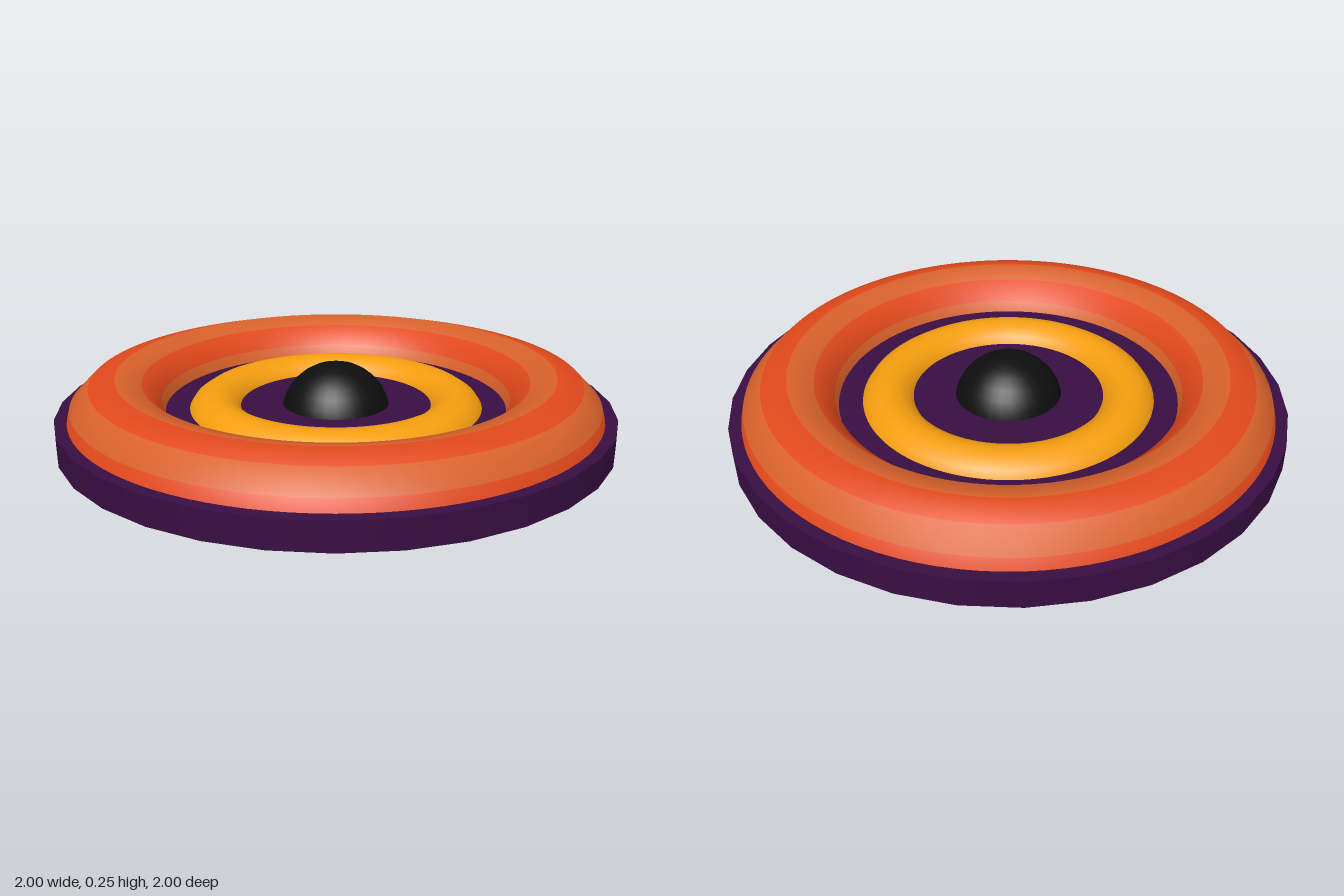
import * as THREE from 'three';

const MID = 0.05; // the domed rings and centre rise from the middle of the base

const paint = (color) => new THREE.MeshStandardMaterial({ color });

// Upper half of a ring with a round section, from the outer edge to the inner
function halfRing(radius, tube, sides, around) {
  const profile = [];
  for (let i = 0; i <= sides; i++) {
    const a = (i / sides) * Math.PI;
    profile.push(new THREE.Vector2(radius + tube * Math.cos(a), MID + tube * Math.sin(a)));
  }
  return new THREE.LatheGeometry(profile, around);
}

// Keep every second band of a ring, so two colours can alternate
function everySecondBand(ring, sides, first) {
  const bands = ring.clone();
  const kept = Array.from(ring.index.array).filter((_, i) => Math.floor(i / 6) % sides % 2 === first);
  bands.setIndex(kept);
  return bands;
}

export function createModel() {
  const group = new THREE.Group();
  const add = (name, geometry, color, parent = group) => {
    const mesh = new THREE.Mesh(geometry, paint(color));
    mesh.name = name;
    parent.add(mesh);
    return mesh;
  };

  // Flat base disc
  add('base', new THREE.CylinderGeometry(1, 1, 0.1, 32), 0x380e42).position.y = MID;

  // Large outer ring in alternating bands
  const outerRing = new THREE.Group();
  outerRing.name = 'outerRing';
  group.add(outerRing);
  const ring = halfRing(0.785, 0.184, 6, 96);
  add('redBands', everySecondBand(ring, 6, 0), 0xe2491b, outerRing);
  add('orangeBands', everySecondBand(ring, 6, 1), 0xd9622b, outerRing);

  // Smaller inner ring
  add('innerRing', halfRing(0.437, 0.106, 8, 96), 0xf59e0f);

  // Centre dome
  const dome = new THREE.SphereGeometry(0.2, 32, 8, 0, Math.PI * 2, 0, Math.PI / 2);
  add('centreDome', dome, 0x0e0e0e).position.y = MID;

  return group;
}
